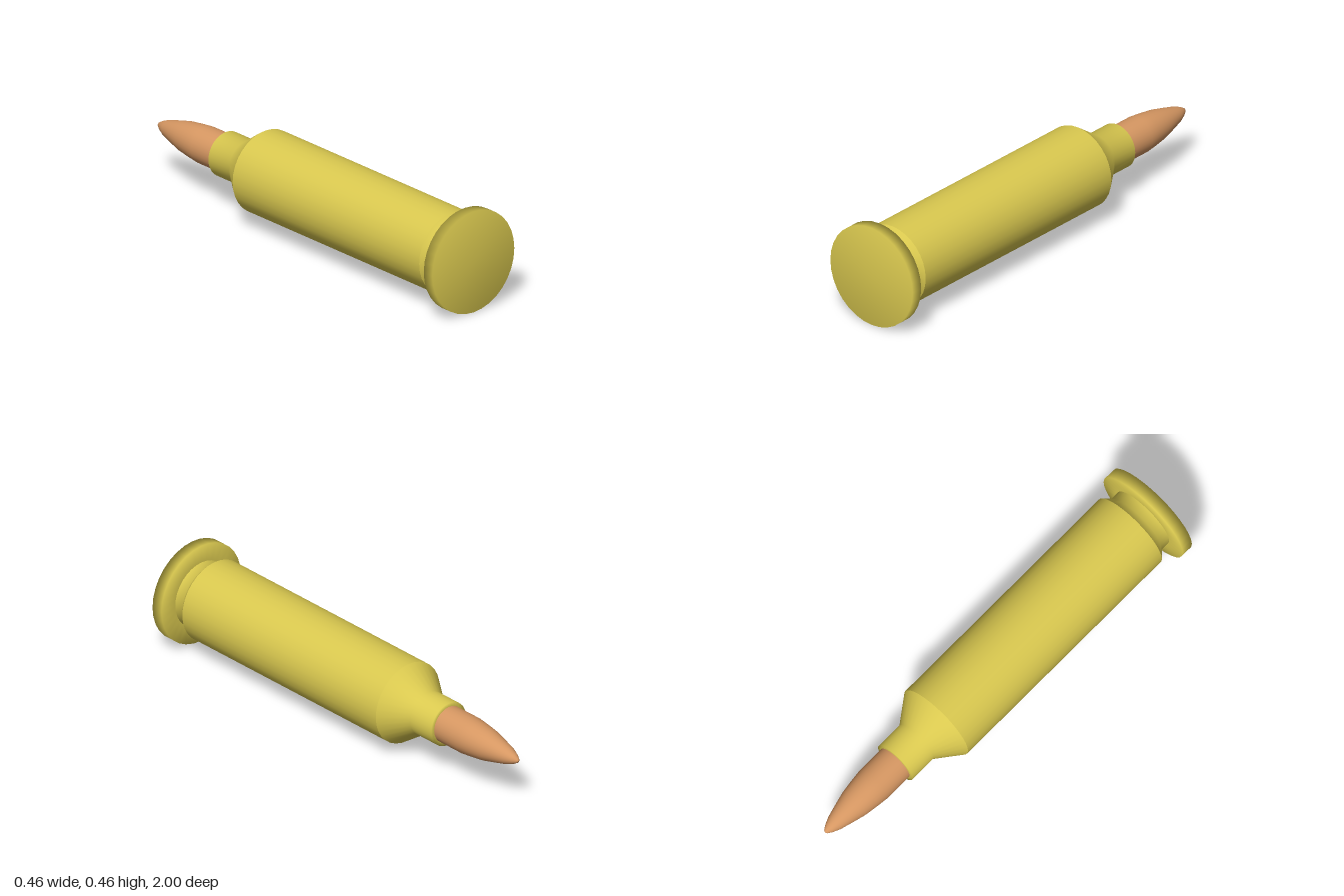
import * as THREE from 'three';

const SIDES = 32;

export function createModel() {
  const group = new THREE.Group();
  const brass = new THREE.MeshStandardMaterial({ color: 0xd9c84f, side: THREE.DoubleSide });
  const copper = new THREE.MeshStandardMaterial({ color: 0xd69762, side: THREE.DoubleSide });

  // Turned part: pairs of [radius, distance towards the back], axis along -z
  function turned(name, material, profile) {
    const points = profile.map(([r, d]) => new THREE.Vector2(r, d));
    const geometry = new THREE.LatheGeometry(points, SIDES);
    geometry.rotateX(-Math.PI / 2);
    const mesh = new THREE.Mesh(geometry, material);
    mesh.name = name;
    mesh.position.y = 0.23;
    group.add(mesh);
  }

  // Rim disc with the extractor groove behind it
  turned('rim', brass, [[0, -1], [0.23, -1], [0.23, -0.945], [0.15, -0.945]]);
  turned('extractorGroove', brass, [[0.15, -0.945], [0.15, -0.9], [0.185, -0.865]]);

  // Straight case wall
  turned('caseBody', brass, [[0.185, -0.865], [0.185, 0.32]]);

  // Tapered shoulder, neck and mouth
  turned('shoulderAndNeck', brass, [[0.185, 0.32], [0.1, 0.44], [0.1, 0.57], [0.08, 0.57]]);

  // Pointed projectile, seated slightly inside the neck
  turned('projectile', copper, [
    [0.083, 0.55], [0.083, 0.7], [0.077, 0.755], [0.068, 0.82],
    [0.053, 0.88], [0.037, 0.94], [0.022, 0.975], [0.01, 0.994], [0, 1],
  ]);

  return group;
}
